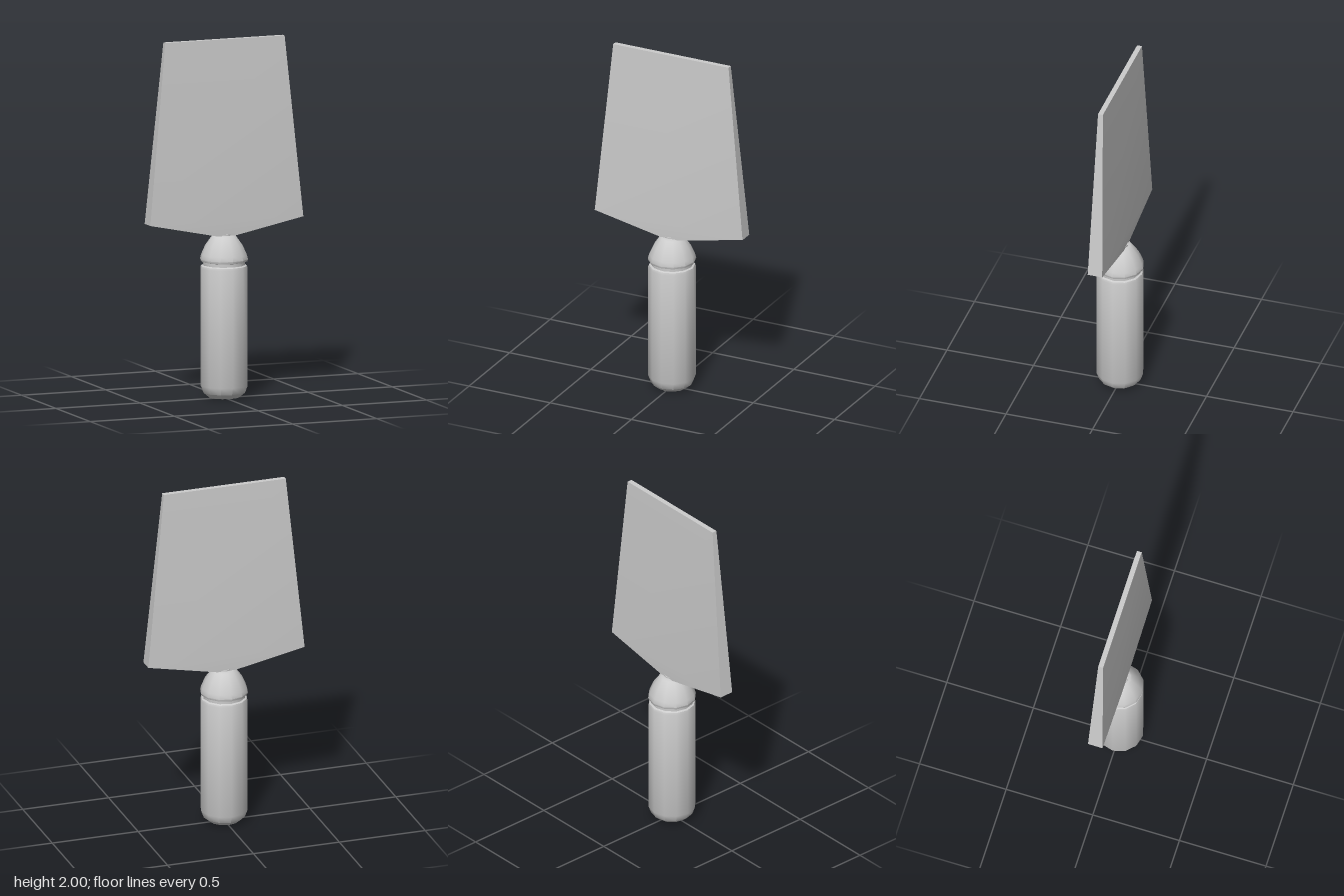
import * as THREE from 'three';
import { toCreasedNormals } from 'three/addons/utils/BufferGeometryUtils.js';

const material = new THREE.MeshStandardMaterial({ color: 0xcccccc });

// Turned part with 12 sides, from [radius, height] pairs listed bottom to top
function turned(name, profile) {
  const points = profile.map(([r, y]) => new THREE.Vector2(r, y));
  const mesh = new THREE.Mesh(toCreasedNormals(new THREE.LatheGeometry(points, 12), 0.65), material);
  mesh.name = name;
  return mesh;
}

// Blade: a box of two storeys whose levels are resized to [height, half width, half thickness]
function makeBlade() {
  const levels = [[0.905, 0.045, 0.038], [0.99, 0.455, 0.042], [2, 0.355, 0.014]];
  const geometry = new THREE.BoxGeometry(2, 2, 2, 1, 2, 1);
  const pos = geometry.attributes.position;
  for (let i = 0; i < pos.count; i++) {
    const [y, halfWidth, halfDepth] = levels[Math.round(pos.getY(i)) + 1];
    pos.setXYZ(i, pos.getX(i) * halfWidth, y, pos.getZ(i) * halfDepth);
  }
  const mesh = new THREE.Mesh(toCreasedNormals(geometry, 0.3), material);
  mesh.name = 'blade';
  return mesh;
}

export function createModel() {
  const group = new THREE.Group();
  group.name = 'trowel';

  // Grip with a rounded butt, ending in the groove below the collar
  group.add(turned('grip', [
    [0, 0], [0.085, 0.004], [0.117, 0.03], [0.132, 0.07],
    [0.132, 0.725], [0.128, 0.737], [0.118, 0.742], [0.118, 0.76],
  ]));

  // Domed collar above the groove
  group.add(turned('collar', [
    [0.118, 0.76], [0.13, 0.763], [0.134, 0.775], [0.127, 0.8],
    [0.105, 0.85], [0.068, 0.902], [0.058, 0.907], [0, 0.907],
  ]));

  // Short neck joining the collar to the blade
  group.add(turned('neck', [[0.045, 0.9], [0.045, 0.914], [0, 0.914]]));

  group.add(makeBlade());
  return group;
}
